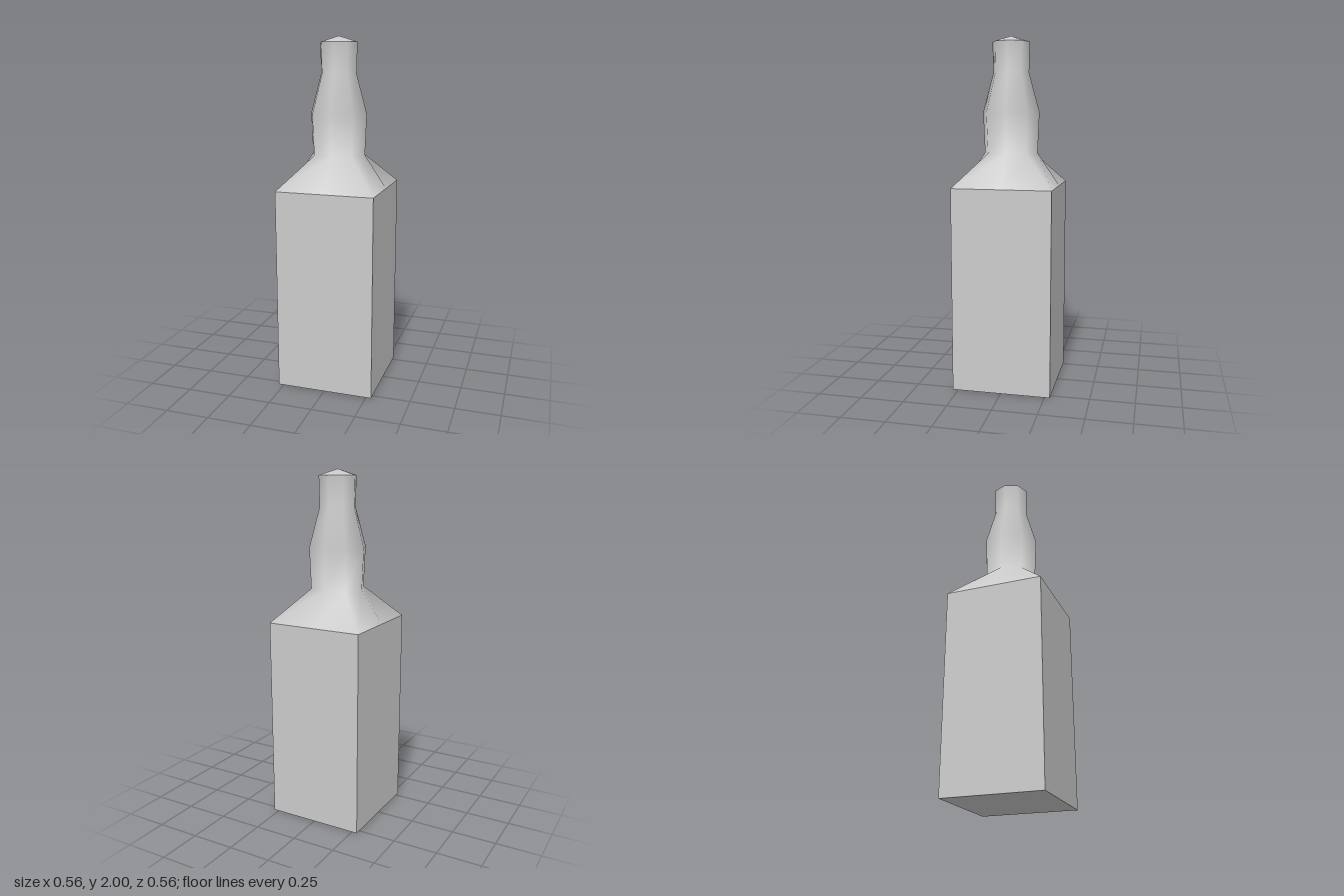
import * as THREE from 'three';
import { mergeVertices } from 'three/addons/utils/BufferGeometryUtils.js';

const SIDES = 8;
const HALF = 0.281; // half width of the square body
const BODY_TOP = 1.16;
const RIM = { y: 1.967, r: 0.108 };

// Eight-point ring with points on the axes and diagonals
const roundRing = (y, r) => Array.from({ length: SIDES }, (_, i) => {
  const a = (i / SIDES) * Math.PI * 2;
  return [r * Math.sin(a), y, r * Math.cos(a)];
});

// Square ring with matching points: side midpoints and corners
const squareRing = (y, h) => roundRing(y, 1).map(([x, , z]) => {
  const s = h / Math.max(Math.abs(x), Math.abs(z));
  return [x * s, y, z * s];
});

// Smooth skin through a stack of rings, bottom to top
function loft(rings) {
  const index = [];
  for (let j = 0; j < rings.length - 1; j++) {
    for (let i = 0; i < SIDES; i++) {
      const a = j * SIDES + i;
      const b = j * SIDES + ((i + 1) % SIDES);
      index.push(a, b, b + SIDES, a, b + SIDES, a + SIDES);
    }
  }
  const geo = new THREE.BufferGeometry();
  geo.setAttribute('position', new THREE.Float32BufferAttribute(rings.flat(2), 3));
  geo.setIndex(index);
  const welded = mergeVertices(geo);
  welded.computeVertexNormals();
  return welded;
}

export function createModel() {
  const group = new THREE.Group();
  const material = new THREE.MeshStandardMaterial({ color: 0xcccccc });
  const add = (name, geometry) => {
    const mesh = new THREE.Mesh(geometry, material);
    mesh.name = name;
    group.add(mesh);
    return mesh;
  };

  // Square bottle body
  add('body', new THREE.BoxGeometry(HALF * 2, BODY_TOP, HALF * 2)).position.y = BODY_TOP / 2;

  // Shoulder blending from the square into the bulging octagonal neck
  add('shoulderAndNeck', loft([
    squareRing(BODY_TOP, HALF),
    roundRing(1.345, 0.155),
    roundRing(1.575, 0.165),
    roundRing(1.795, 0.104),
    roundRing(RIM.y, RIM.r),
  ]));

  // Shallow pointed cap
  add('cap', loft([roundRing(RIM.y, RIM.r), roundRing(2, 0)]));

  return group;
}
